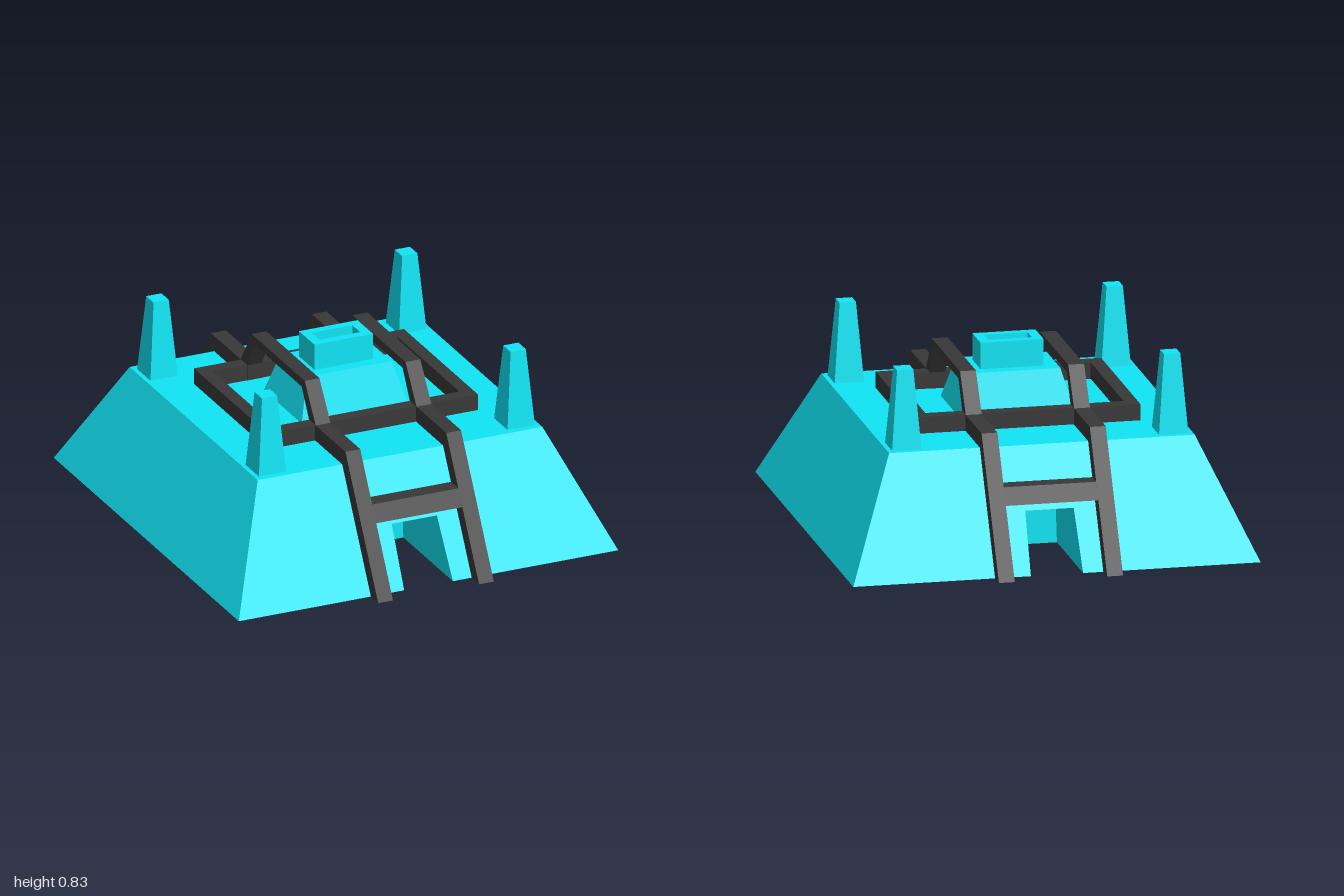
import * as THREE from 'three';

const cyan = new THREE.MeshStandardMaterial({ color: 0x10e4f4, side: THREE.DoubleSide, flatShading: true });
const dark = new THREE.MeshStandardMaterial({ color: 0x383838, flatShading: true });

const DECK = 0.49;
const DOOR = { low: 0.112, high: 0.104, top: 0.245, back: 0.43 };

function add(parent, name, geometry, material) {
  const mesh = new THREE.Mesh(geometry, material);
  mesh.name = name;
  parent.add(mesh);
  return mesh;
}

const polygon = (pts) => new THREE.Shape(pts.map(([x, y]) => new THREE.Vector2(x, y)));
const rect = (w, h, cx = 0, cy = 0) =>
  polygon([[cx - w, cy - h], [cx + w, cy - h], [cx + w, cy + h], [cx - w, cy + h]]);

// Leaning trapezoid wall facing +z, optionally with a doorway notch
function wall(lowHalf, highHalf, lowZ, highZ, y0, y1, door) {
  const pts = [[-lowHalf, y0]];
  if (door) {
    pts.push([-DOOR.low, y0], [-DOOR.high, DOOR.top], [DOOR.high, DOOR.top], [DOOR.low, y0]);
  }
  pts.push([lowHalf, y0], [highHalf, y1], [-highHalf, y1]);
  const g = new THREE.ShapeGeometry(polygon(pts));
  const p = g.attributes.position;
  for (let i = 0; i < p.count; i++) {
    p.setZ(i, THREE.MathUtils.lerp(lowZ, highZ, (p.getY(i) - y0) / (y1 - y0)));
  }
  g.computeVertexNormals();
  return g;
}

// Horizontal plate, half sizes w and d, with rectangular holes
function plate(w, d, y, holes = []) {
  const s = rect(w, d);
  s.holes = holes;
  return new THREE.ShapeGeometry(s).rotateX(-Math.PI / 2).translate(0, y, 0);
}

// Hollow tapered block: four walls and a top plate
function taperedBlock(name, [bx, bz], [tx, tz], y0, y1, { doors = false, holes = [] } = {}) {
  const group = new THREE.Group();
  group.name = name;
  for (let i = 0; i < 4; i++) {
    const g = i % 2 ? wall(bz, tz, bx, tx, y0, y1) : wall(bx, tx, bz, tz, y0, y1, doors);
    add(group, name + 'Wall', g.rotateY(i * Math.PI / 2), cyan);
  }
  add(group, name + 'Top', plate(tx, tz, y1, holes), cyan);
  return group;
}

// Doorway recess: side walls, ceiling and back, without a floor
function doorRecess() {
  const slopeZ = 0.925 - 0.285 * DOOR.top / DECK;
  const front = [[-DOOR.low, 0, 0.925], [-DOOR.high, DOOR.top, slopeZ],
    [DOOR.high, DOOR.top, slopeZ], [DOOR.low, 0, 0.925]];
  const back = front.map(([x, y]) => [x, y, DOOR.back]);
  const v = [];
  const quad = (a, b, c, d) => v.push(...a, ...b, ...c, ...a, ...c, ...d);
  for (let i = 0; i < 3; i++) quad(front[i], front[i + 1], back[i + 1], back[i]);
  quad(back[3], back[2], back[1], back[0]);
  const g = new THREE.BufferGeometry();
  g.setAttribute('position', new THREE.Float32BufferAttribute(v, 3));
  g.computeVertexNormals();
  return g;
}

// Side profile (z, y) extruded along x and centred on it
function alongX(pts, width) {
  return new THREE.ExtrudeGeometry(polygon(pts), { depth: width, bevelEnabled: false })
    .translate(0, 0, -width / 2).rotateY(-Math.PI / 2);
}

export function createModel() {
  const model = new THREE.Group();
  model.name = 'fortress';
  const corners = [[1, 1], [1, -1], [-1, 1], [-1, -1]];
  const towerX = 0.572, towerZ = 0.542;

  // Hollow base, open where the towers and turret stand
  const holes = corners.map(([sx, sz]) => rect(0.063, 0.067, sx * towerX, sz * towerZ));
  holes.push(rect(0.245, 0.19));
  model.add(taperedBlock('base', [0.873, 0.925], [0.655, 0.64], 0, DECK, { doors: true, holes }));

  // Corner towers
  for (const [sx, sz] of corners) {
    const tower = taperedBlock('cornerTower', [0.063, 0.067], [0.035, 0.037], DECK, 0.83);
    tower.position.set(sx * towerX, 0, sz * towerZ);
    model.add(tower);
  }

  // Central turret with a slotted box on top
  model.add(taperedBlock('turret', [0.245, 0.19], [0.195, 0.13], DECK, 0.67));
  model.add(taperedBlock('turretBox', [0.135, 0.077], [0.135, 0.077], 0.67, 0.785,
    { holes: [rect(0.093, 0.039)] }));
  for (let i = 0; i < 4; i++) {
    const g = i % 2 ? wall(0.039, 0.039, 0.093, 0.093, 0.735, 0.785)
      : wall(0.093, 0.093, 0.039, 0.039, 0.735, 0.785);
    add(model, 'slotWall', g.rotateY(i * Math.PI / 2), cyan);
  }
  add(model, 'slotFloor', plate(0.093, 0.039, 0.735), cyan);

  // Long bent rails that climb over the base and the turret
  const outer = [[1, 0], [0.672, 0.56], [0.375, 0.56], [0.265, 0.72]];
  const inner = [[0.235, 0.682], [0.308, 0.56], [0.308, 0.487], [0.642, 0.487], [0.927, 0]];
  const flip = (pts) => pts.map(([z, y]) => [-z, y]).reverse();
  const railProfile = [...outer, ...flip(outer), ...flip(inner), ...inner];
  for (const side of [-1, 1]) {
    add(model, 'rail', alongX(railProfile, 0.068), dark).position.x = side * 0.232;
  }

  // Sloped crossbars above the doors, and the door recesses
  const bar = [[0.832, 0.285], [0.792, 0.355], [0.714, 0.355], [0.755, 0.285]];
  for (const turn of [0, Math.PI]) {
    add(model, 'crossbar', alongX(bar, 0.41), dark).rotation.y = turn;
    add(model, 'doorRecess', doorRecess(), cyan).rotation.y = turn;
  }

  // Rectangular frame lying on the deck
  const frame = rect(0.483, 0.37);
  frame.holes.push(rect(0.425, 0.31));
  const frameGeometry = new THREE.ExtrudeGeometry(frame, { depth: 0.075, bevelEnabled: false })
    .rotateX(-Math.PI / 2).translate(0, 0.486, 0);
  add(model, 'deckFrame', frameGeometry, dark);

  return model;
}
